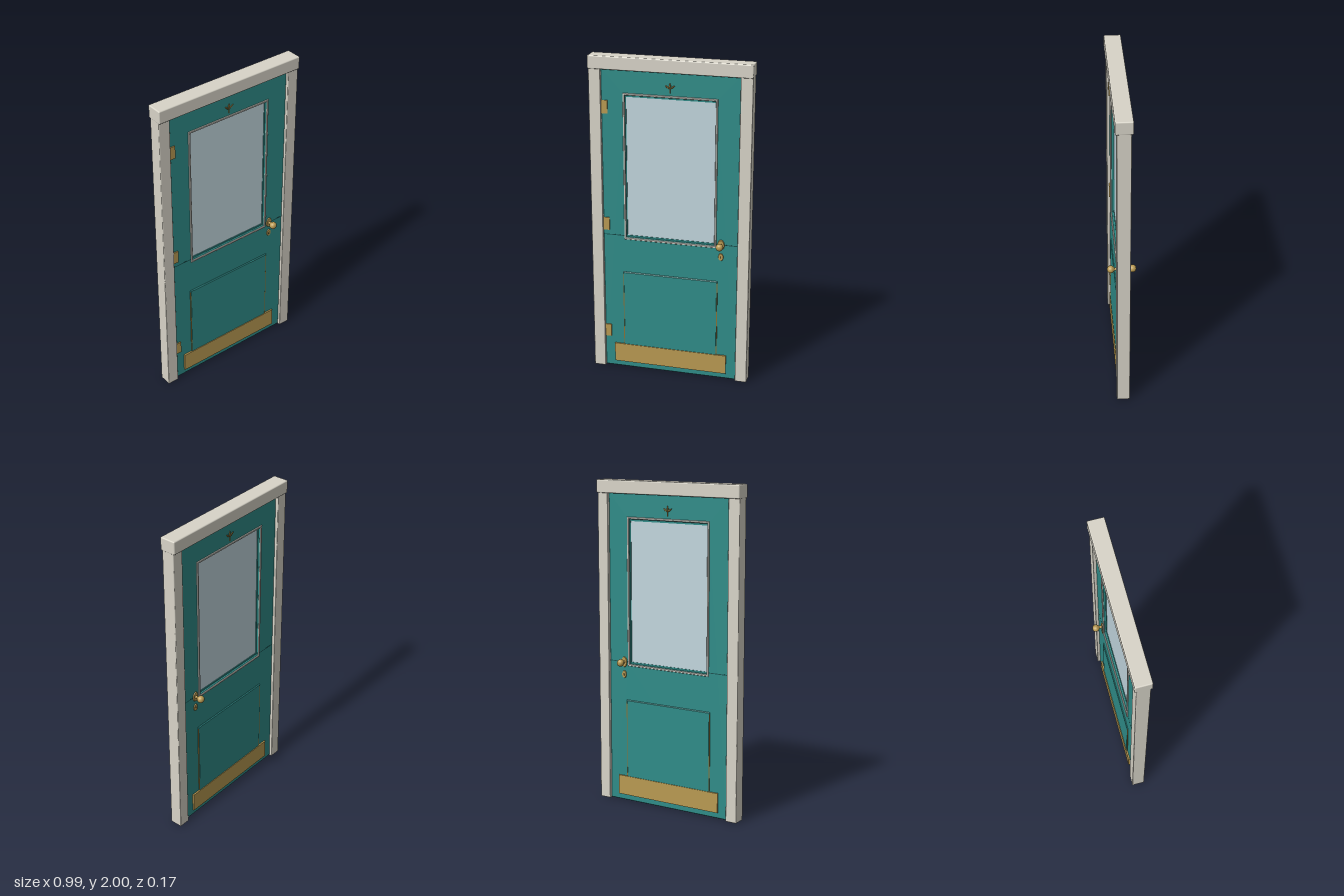
import * as THREE from 'three';
import { RoundedBoxGeometry } from 'three/addons/geometries/RoundedBoxGeometry.js';

const mat = (color) => new THREE.MeshStandardMaterial({ color });

export function createModel() {
  const door = new THREE.Group();
  door.name = 'door';
  const stone = mat(0xd8d4c8), teal = mat(0x2f8c88), seamTeal = mat(0x17504f);
  const brass = mat(0xb99a52), darkBrass = mat(0x8a7238), dark = mat(0x2a2418);
  const glassMat = mat(0xc2d6de), trim = mat(0xc9c8c0);
  const FACE = 0.022; // half thickness of the leaf

  const add = (parent, name, geo, material, x = 0, y = 0, z = 0) => {
    const m = new THREE.Mesh(geo, material);
    m.name = name;
    m.position.set(x, y, z);
    parent.add(m);
    return m;
  };
  const box = (w, h, d) => new THREE.BoxGeometry(w, h, d);
  const rect = (T, x0, y0, x1, y1) => {
    const s = new T();
    s.moveTo(x0, y0);
    s.lineTo(x1, y0);
    s.lineTo(x1, y1);
    s.lineTo(x0, y1);
    s.closePath();
    return s;
  };
  const extrude = (shape, depth, bevel = 0) => new THREE.ExtrudeGeometry(shape, {
    depth, bevelEnabled: bevel > 0, bevelSize: bevel, bevelThickness: bevel,
    bevelOffset: -bevel, bevelSegments: 1, curveSegments: 10,
  });

  // Surround: two jambs and the lintel
  for (const s of [-1, 1])
    add(door, s > 0 ? 'leftJamb' : 'rightJamb', new RoundedBoxGeometry(0.073, 1.93, 0.08, 2, 0.005), stone, s * 0.4545, 0.965, 0);
  add(door, 'lintel', new RoundedBoxGeometry(0.986, 0.08, 0.1, 3, 0.007), stone, 0, 1.96, 0);

  // Leaf with the window opening
  const leaf = rect(THREE.Shape, -0.42, 0.003, 0.42, 1.925);
  leaf.holes.push(rect(THREE.Path, -0.277, 0.88, 0.277, 1.768));
  add(door, 'doorLeaf', extrude(leaf, 2 * FACE - 0.006, 0.003), teal, 0, 0, -FACE + 0.003);

  // Glazing: inner stop and pane
  const stop = rect(THREE.Shape, -0.278, 0.879, 0.278, 1.769);
  stop.holes.push(rect(THREE.Path, -0.271, 0.89, 0.271, 1.756));
  add(door, 'glassStop', extrude(stop, 0.016), teal, 0, 0, -0.008);
  add(door, 'glassPane', box(0.55, 0.876, 0.008), glassMat, 0, 1.323, 0);

  // Sprig of three leaves on a stem
  function sprig() {
    const g = new THREE.Group();
    g.name = 'sprig';
    const petal = new THREE.Shape();
    petal.moveTo(0, 0);
    petal.quadraticCurveTo(0.01, 0.018, 0, 0.036);
    petal.quadraticCurveTo(-0.01, 0.018, 0, 0);
    for (const a of [-0.95, 0, 0.95])
      add(g, 'sprigLeaf', extrude(petal, 0.003, 0.0015), darkBrass, 0, 1.823, FACE).rotation.z = a;
    add(g, 'sprigStem', box(0.004, 0.03, 0.004), darkBrass, 0, 1.812, FACE + 0.002);
    return g;
  }

  // Knob, turned about the z axis
  const knobProfile = new THREE.SplineCurve([
    [0.009, 0.014], [0.009, 0.02], [0.014, 0.025], [0.021, 0.034],
    [0.0225, 0.042], [0.02, 0.053], [0.012, 0.061], [0, 0.064],
  ].map(([x, y]) => new THREE.Vector2(x, y))).getPoints(24);
  knobProfile.forEach((p) => { p.x = Math.max(p.x, 0); });
  knobProfile.unshift(new THREE.Vector2(0.009, 0));
  const knobGeo = new THREE.LatheGeometry(knobProfile, 28).rotateX(Math.PI / 2);
  const oval = (rx, ry, d) => new THREE.CylinderGeometry(0.9, 1, d, 24).rotateX(Math.PI / 2).scale(rx, ry, 1);

  // Fittings shared by both faces
  for (const s of [1, -1]) {
    const side = new THREE.Group();
    side.name = s > 0 ? 'frontFittings' : 'backFittings';
    if (s < 0) side.rotation.y = Math.PI;
    door.add(side);
    const kx = 0.315 * s;

    // Window beading
    const bead = rect(THREE.Shape, -0.286, 0.868, 0.286, 1.782);
    bead.holes.push(rect(THREE.Path, -0.274, 0.88, 0.274, 1.77));
    add(side, 'windowBeading', extrude(bead, 0.005, 0.002), trim, 0, 0, FACE);

    // Seam between upper and lower halves
    for (const e of [-1, 1])
      add(side, 'leafSeam', box(0.134, 0.005, 0.001), seamTeal, e * 0.352, 0.89, FACE);

    // Raised lower panel with thin side strips
    add(side, 'lowerPanel', extrude(rect(THREE.Shape, -0.297, 0.1, 0.297, 0.652), 0.001, 0.005), teal, 0, 0, FACE);
    for (const e of [-1, 1])
      add(side, 'panelStrip', box(0.005, 0.475, 0.005), darkBrass, e * 0.295, 0.403, FACE + 0.0025);

    add(side, 'kickPlate', box(0.714, 0.122, 0.01), brass, 0, 0.1, FACE + 0.005);

    // Knob, rose and keyhole plate
    add(side, 'knobRose', oval(0.021, 0.033, 0.006), brass, kx, 0.89, FACE + 0.003);
    add(side, 'knob', knobGeo, brass, kx, 0.89, FACE);
    add(side, 'keyPlate', oval(0.016, 0.024, 0.005), brass, kx, 0.812, FACE + 0.0025);
    add(side, 'keyhole', new THREE.CylinderGeometry(0.004, 0.004, 0.002, 12).rotateX(Math.PI / 2), dark, kx, 0.815, FACE + 0.0047);
    add(side, 'keySlot', box(0.003, 0.012, 0.002), dark, kx, 0.809, FACE + 0.0047);
    side.add(sprig());
  }

  // Hinges on the front
  for (const y of [0.245, 0.96, 1.692])
    add(door, 'hinge', box(0.04, 0.08, 0.008), brass, -0.4, y, FACE + 0.003);

  return door;
}
